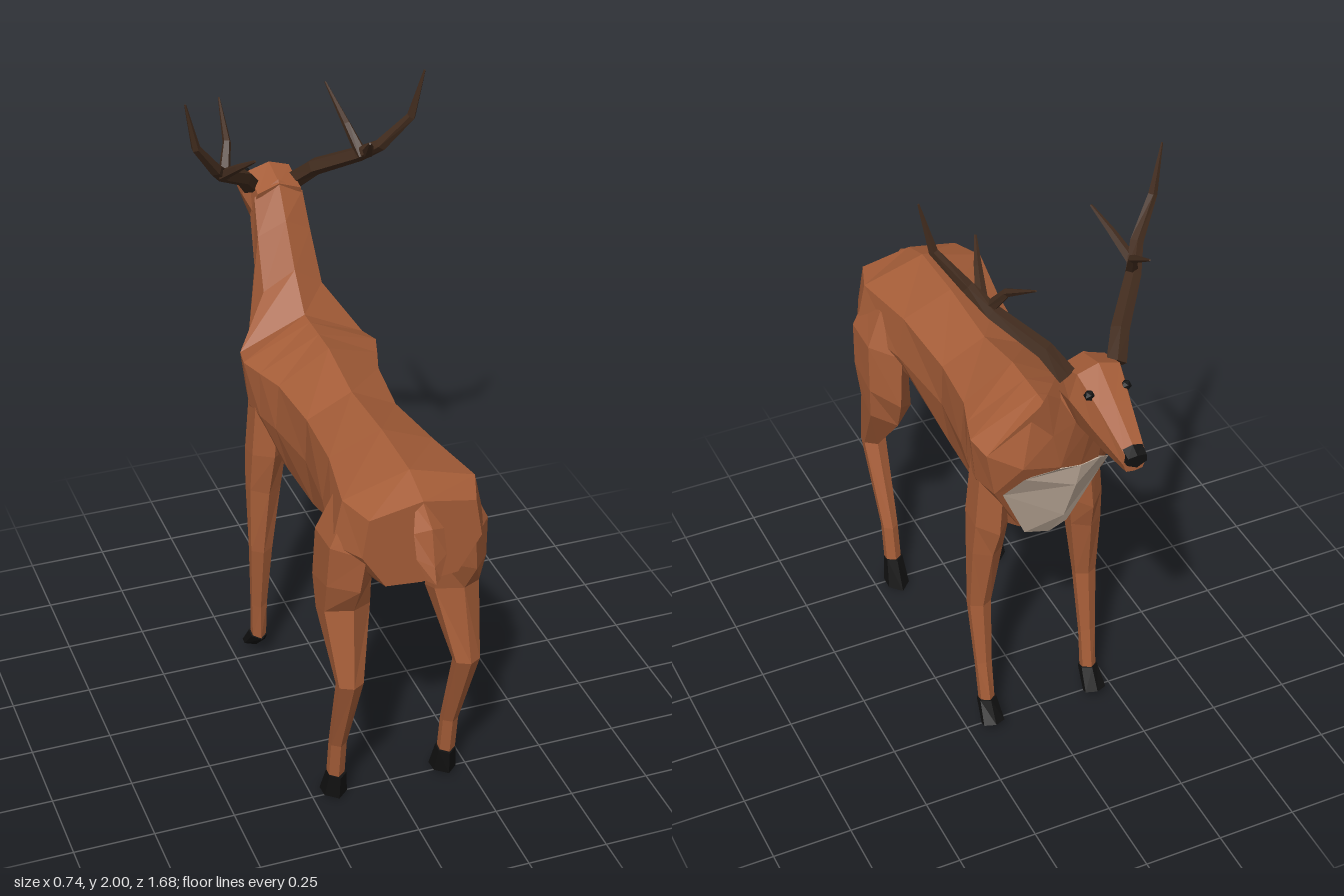
import * as THREE from 'three';

const mat = (color) => new THREE.MeshStandardMaterial({ color, flatShading: true, roughness: 0.9 });
const V = (x, y, z) => new THREE.Vector3(x, y, z);

// Skin a list of closed rings (equal point counts) and cap both ends
function loft(name, rings, material) {
  const tris = [];
  const n = rings[0].length;
  for (let i = 0; i + 1 < rings.length; i++) {
    const a = rings[i], b = rings[i + 1];
    for (let j = 0; j < n; j++) {
      const k = (j + 1) % n;
      tris.push([a[j], a[k], b[k]], [a[j], b[k], b[j]]);
    }
  }
  const cap = (ring, flip) => {
    const c = ring.reduce((s, p) => s.add(p), V(0, 0, 0)).divideScalar(n);
    ring.forEach((p, j) => {
      const q = ring[(j + 1) % n];
      tris.push(flip ? [c, q, p] : [c, p, q]);
    });
  };
  cap(rings[0], true);
  cap(rings[rings.length - 1], false);
  // Turn the faces outward whatever the ring direction
  const volume = tris.reduce((s, [a, b, c]) => s + a.dot(b.clone().cross(c)), 0);
  if (volume < 0) tris.forEach((t) => t.reverse());
  const geo = new THREE.BufferGeometry().setFromPoints(tris.flat());
  geo.computeVertexNormals();
  const mesh = new THREE.Mesh(geo, material);
  mesh.name = name;
  return mesh;
}

// Half outline from centre line to centre line -> full symmetric ring
function mirrorRing(half) {
  const right = half.map((p) => V(...p));
  const left = half.slice(1, -1).reverse().map(([x, y, z]) => V(-x, y, z));
  return [...right, ...left];
}

// Cross-section at constant z
const slice = (z, pts) => mirrorRing(pts.map(([x, y]) => [x, y, z]));

// Six-sided leg section: back and front points plus inner and outer x
function legRing(side, [zb, yb, zf, yf, xi, xo]) {
  const xm = (xi + xo) / 2;
  return [[xm, 0], [xo, 0.3], [xo, 0.7], [xm, 1], [xi, 0.7], [xi, 0.3]].map(([x, t]) =>
    V(side * x, yb + (yf - yb) * t, zb + (zf - zb) * t));
}

// Tapered five-sided branch along [x, y, z, radius] points
function branch(name, side, pts, material) {
  const centres = pts.map(([x, y, z]) => V(side * x, y, z));
  const rings = centres.map((c, i) => {
    const t = centres[Math.min(i + 1, pts.length - 1)].clone()
      .sub(centres[Math.max(i - 1, 0)]).normalize();
    const u = t.clone().cross(V(1, 0, 0.3)).normalize();
    const w = t.clone().cross(u);
    return Array.from({ length: 5 }, (_, k) => {
      const a = (k / 5) * Math.PI * 2, r = pts[i][3];
      return c.clone().addScaledVector(u, r * Math.cos(a)).addScaledVector(w, r * Math.sin(a));
    });
  });
  return loft(name, rings, material);
}

export function createModel() {
  const coat = mat(0xa55d38), pale = mat(0xc8b4a2), black = mat(0x111111), horn = mat(0x422c1e);
  const model = new THREE.Group();
  model.name = 'stag';

  // Trunk and neck, from rump to throat
  model.add(loft('body', [
    slice(0.73, [[0, 1.16], [0.16, 1.13], [0.18, 1.01], [0.11, 0.9], [0, 0.89]]),
    slice(0.62, [[0, 1.2], [0.2, 1.14], [0.23, 1.0], [0.13, 0.88], [0, 0.88]]),
    slice(0.40, [[0, 1.205], [0.16, 1.14], [0.18, 1.0], [0.15, 0.92], [0, 0.8]]),
    slice(0.15, [[0, 1.19], [0.14, 1.12], [0.145, 0.98], [0.12, 0.82], [0, 0.69]]),
    slice(-0.05, [[0, 1.23], [0.16, 1.13], [0.17, 0.98], [0.13, 0.825], [0, 0.685]]),
    slice(-0.14, [[0, 1.23], [0.19, 1.13], [0.19, 0.98], [0.13, 0.82], [0, 0.69]]),
    slice(-0.22, [[0, 1.23], [0.215, 1.13], [0.2, 0.98], [0.12, 0.79], [0, 0.735]]),
    mirrorRing([[0, 1.23, -0.27], [0.2, 1.12, -0.3], [0.18, 0.98, -0.31], [0.08, 0.79, -0.27], [0, 0.8, -0.28]]),
    mirrorRing([[0, 1.34, -0.36], [0.095, 1.27, -0.38], [0.135, 1.13, -0.41], [0.11, 1.05, -0.38], [0, 1.06, -0.41]]),
    mirrorRing([[0, 1.47, -0.44], [0.085, 1.42, -0.46], [0.085, 1.3, -0.5], [0.06, 1.18, -0.5], [0, 1.17, -0.505]]),
    mirrorRing([[0, 1.58, -0.51], [0.078, 1.53, -0.51], [0.083, 1.46, -0.54], [0.05, 1.39, -0.57], [0, 1.385, -0.58]]),
  ], coat));

  // Pale chest patch
  model.add(loft('chestPatch', [
    [[0, 1.175, -0.51], [0.065, 1.175, -0.5], [0, 1.17, -0.46]],
    [[0, 1.08, -0.48], [0.135, 1.1, -0.42], [0, 1.08, -0.38]],
    [[0, 0.91, -0.405], [0.16, 0.98, -0.325], [0, 0.93, -0.28]],
    [[0, 0.775, -0.31], [0.07, 0.775, -0.285], [0, 0.775, -0.26]],
  ].map(mirrorRing), pale));

  // Head, nose and eyes
  model.add(loft('head', [
    mirrorRing([[0, 1.57, -0.5], [0.07, 1.545, -0.5], [0.082, 1.48, -0.52], [0.05, 1.39, -0.55], [0, 1.385, -0.56]]),
    slice(-0.6, [[0, 1.6], [0.065, 1.58], [0.088, 1.5], [0.05, 1.39], [0, 1.385]]),
    slice(-0.7, [[0, 1.537], [0.048, 1.525], [0.064, 1.46], [0.04, 1.39], [0, 1.386]]),
    slice(-0.825, [[0, 1.457], [0.03, 1.45], [0.035, 1.42], [0.025, 1.392], [0, 1.388]]),
  ], coat));
  model.add(loft('nose', [
    slice(-0.81, [[0, 1.467], [0.03, 1.46], [0.034, 1.43], [0, 1.41]]),
    slice(-0.84, [[0, 1.45], [0.028, 1.447], [0.03, 1.425], [0, 1.41]]),
  ], black));

  // Tail
  model.add(loft('tail', [
    [[0, 1.16, 0.72], [0.02, 1.14, 0.72], [0, 1.09, 0.72]],
    [[0, 1.11, 0.8], [0.045, 1.09, 0.775], [0, 1.07, 0.755]],
    [[0, 1.0, 0.825], [0.045, 1.02, 0.8], [0, 1.03, 0.775]],
    [[0, 0.95, 0.84], [0.02, 0.955, 0.82], [0, 0.955, 0.805]],
  ].map(mirrorRing), coat));

  // Leg sections: zBack, yBack, zFront, yFront, xInner, xOuter
  const hindLeg = [
    [0.70, 1.1, 0.44, 1.1, 0.08, 0.19], [0.725, 1.0, 0.41, 0.98, 0.09, 0.24],
    [0.71, 0.88, 0.40, 0.8, 0.11, 0.245], [0.64, 0.77, 0.45, 0.69, 0.10, 0.24],
    [0.68, 0.52, 0.60, 0.51, 0.145, 0.22], [0.56, 0.22, 0.50, 0.22, 0.155, 0.205],
    [0.54, 0.08, 0.48, 0.09, 0.155, 0.205],
  ];
  const frontLeg = [
    [-0.12, 1.06, -0.29, 1.06, 0.08, 0.19], [-0.11, 0.84, -0.295, 0.8, 0.10, 0.21],
    [-0.14, 0.69, -0.265, 0.7, 0.115, 0.215], [-0.16, 0.46, -0.225, 0.47, 0.145, 0.215],
    [-0.2, 0.22, -0.245, 0.25, 0.155, 0.205], [-0.21, 0.09, -0.27, 0.1, 0.155, 0.2],
  ];
  const hindHoof = [[0.55, 0.09, 0.475, 0.1, 0.15, 0.205], [0.545, 0.01, 0.43, 0, 0.143, 0.215]];
  const frontHoof = [[-0.205, 0.09, -0.275, 0.11, 0.15, 0.205], [-0.265, 0.03, -0.315, 0.04, 0.143, 0.213]];

  for (const [label, s] of [['left', 1], ['right', -1]]) {
    const leg = (name, rows, material) =>
      model.add(loft(label + name, rows.map((r) => legRing(s, r)), material));
    leg('HindLeg', hindLeg, coat);
    leg('FrontLeg', frontLeg, coat);
    leg('HindHoof', hindHoof, black);
    leg('FrontHoof', frontHoof, black);

    const eye = new THREE.Mesh(new THREE.IcosahedronGeometry(0.016, 0), black);
    eye.name = label + 'Eye';
    eye.position.set(s * 0.056, 1.545, -0.657);
    model.add(eye);

    // Antler: main beam with a forward and a rear tine
    const antler = new THREE.Group();
    antler.name = label + 'Antler';
    antler.add(
      branch('beam', s, [[0.075, 1.55, -0.56, 0.03], [0.115, 1.61, -0.5, 0.028], [0.215, 1.69, -0.38, 0.024],
        [0.26, 1.745, -0.31, 0.02], [0.335, 1.85, -0.255, 0.014], [0.368, 2.0, -0.238, 0.003]], horn),
      branch('frontTine', s, [[0.22, 1.69, -0.36, 0.02], [0.19, 1.775, -0.42, 0.013], [0.17, 1.86, -0.555, 0.003]], horn),
      branch('rearTine', s, [[0.23, 1.71, -0.34, 0.018], [0.205, 1.765, -0.26, 0.012], [0.178, 1.815, -0.185, 0.004]], horn),
    );
    model.add(antler);
  }
  return model;
}
